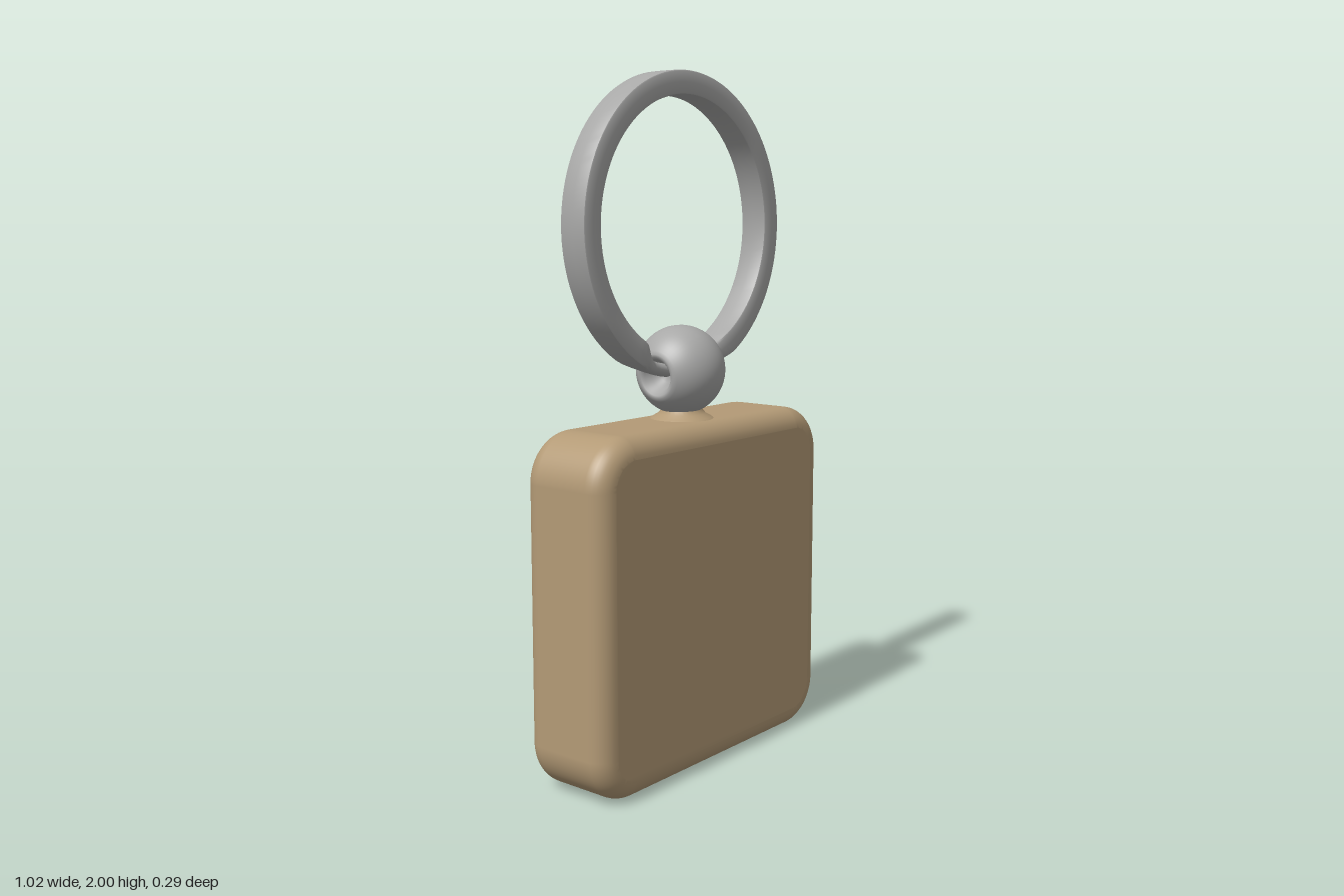
import * as THREE from 'three';
import { mergeVertices, toCreasedNormals } from 'three/addons/utils/BufferGeometryUtils.js';

const { lerp, smoothstep } = THREE.MathUtils;

// Thick square tag with rounded corners and soft edges
function tagGeometry() {
  const bevel = 0.06, hx = 0.51 - bevel, hy = 0.507 - bevel, r = 0.08;
  const s = new THREE.Shape();
  s.absarc(hx - r, hy - r, r, 0, Math.PI / 2);
  s.absarc(-hx + r, hy - r, r, Math.PI / 2, Math.PI);
  s.absarc(-hx + r, -hy + r, r, Math.PI, Math.PI * 1.5);
  s.absarc(hx - r, -hy + r, r, Math.PI * 1.5, Math.PI * 2);
  const depth = 0.294 - 2 * bevel;
  const g = new THREE.ExtrudeGeometry(s, {
    depth, bevelEnabled: true, bevelSize: bevel, bevelThickness: bevel, bevelSegments: 8, curveSegments: 10,
  });
  g.translate(0, 0.507, -depth / 2);
  g.deleteAttribute('normal');
  g.deleteAttribute('uv');
  const smooth = mergeVertices(g, 1e-4);
  smooth.computeVertexNormals();
  return smooth;
}

// Flat band swept round a circle, tapering to a thin rounded wire at both ends
function ringGeometry() {
  const cx = -0.018, cy = 1.568, outer = 0.432, steps = 128, sides = 16;
  const start = 0.1, end = Math.PI * 2 - 0.1;
  const pos = [], index = [];
  for (let i = 0; i <= steps; i++) {
    const a = lerp(start, end, i / steps);
    const left = smoothstep(Math.PI * 2 - a, 0.28, 0.52); // 0 at the left tip
    const right = smoothstep(a, 0.2, 0.55); // 0 at the right tip
    const full = left * right;
    const halfR = Math.min(lerp(0.019, 0.034, left), lerp(0.029, 0.034, right));
    const halfZ = lerp(0.024, 0.044, full);
    const power = lerp(1, 0.16, full); // round wire to square band
    for (let j = 0; j < sides; j++) {
      const t = (j / sides) * Math.PI * 2;
      const c = Math.cos(t), s = Math.sin(t);
      const r = outer - halfR + halfR * Math.sign(c) * Math.abs(c) ** power;
      const z = halfZ * Math.sign(s) * Math.abs(s) ** power;
      pos.push(cx + r * Math.sin(a), cy - r * Math.cos(a), z - 0.003);
      if (i < steps) {
        const A = i * sides + j, D = i * sides + (j + 1) % sides;
        index.push(A, A + sides, D, A + sides, D + sides, D);
      }
    }
  }
  const g = new THREE.BufferGeometry();
  g.setAttribute('position', new THREE.Float32BufferAttribute(pos, 3));
  g.setIndex(index);
  return toCreasedNormals(g, 0.6);
}

// Ball with a dimple at each end, where the ring enters
function ballGeometry() {
  const R = 0.13, a0 = 0.52, pts = [];
  const dimple = [[0, -0.06], [0.025, -0.065], [0.04, -0.085], [0.048, -0.104], [0.056, -0.112]];
  dimple.forEach(([r, y]) => pts.push(new THREE.Vector2(r, y)));
  for (let i = 0; i <= 24; i++) {
    const a = lerp(a0, Math.PI - a0, i / 24);
    pts.push(new THREE.Vector2(R * Math.sin(a), -R * Math.cos(a)));
  }
  dimple.reverse().forEach(([r, y]) => pts.push(new THREE.Vector2(r, -y)));
  const g = new THREE.LatheGeometry(pts, 48);
  g.rotateZ(-Math.PI / 2 + 0.1);
  g.translate(-0.006, 1.155, 0);
  return g;
}

// Small flared collar joining tag and ball
function collarGeometry() {
  const profile = [[0.1, 1.008], [0.088, 1.018], [0.07, 1.028], [0.058, 1.042], [0.056, 1.06]];
  return new THREE.LatheGeometry(profile.map(([r, y]) => new THREE.Vector2(r, y)), 32);
}

export function createModel() {
  const group = new THREE.Group();
  group.name = 'keyring';
  const tan = new THREE.MeshStandardMaterial({ color: 0xb39a76 });
  tan.name = 'tan';
  const steel = new THREE.MeshStandardMaterial({ color: 0xa8a8a7 });
  steel.name = 'steel grey';

  const add = (name, geometry, material) => {
    const mesh = new THREE.Mesh(geometry, material);
    mesh.name = name;
    group.add(mesh);
  };
  add('tag', tagGeometry(), tan);
  add('collar', collarGeometry(), tan);
  add('ball', ballGeometry(), steel);
  add('ring', ringGeometry(), steel);
  return group;
}
